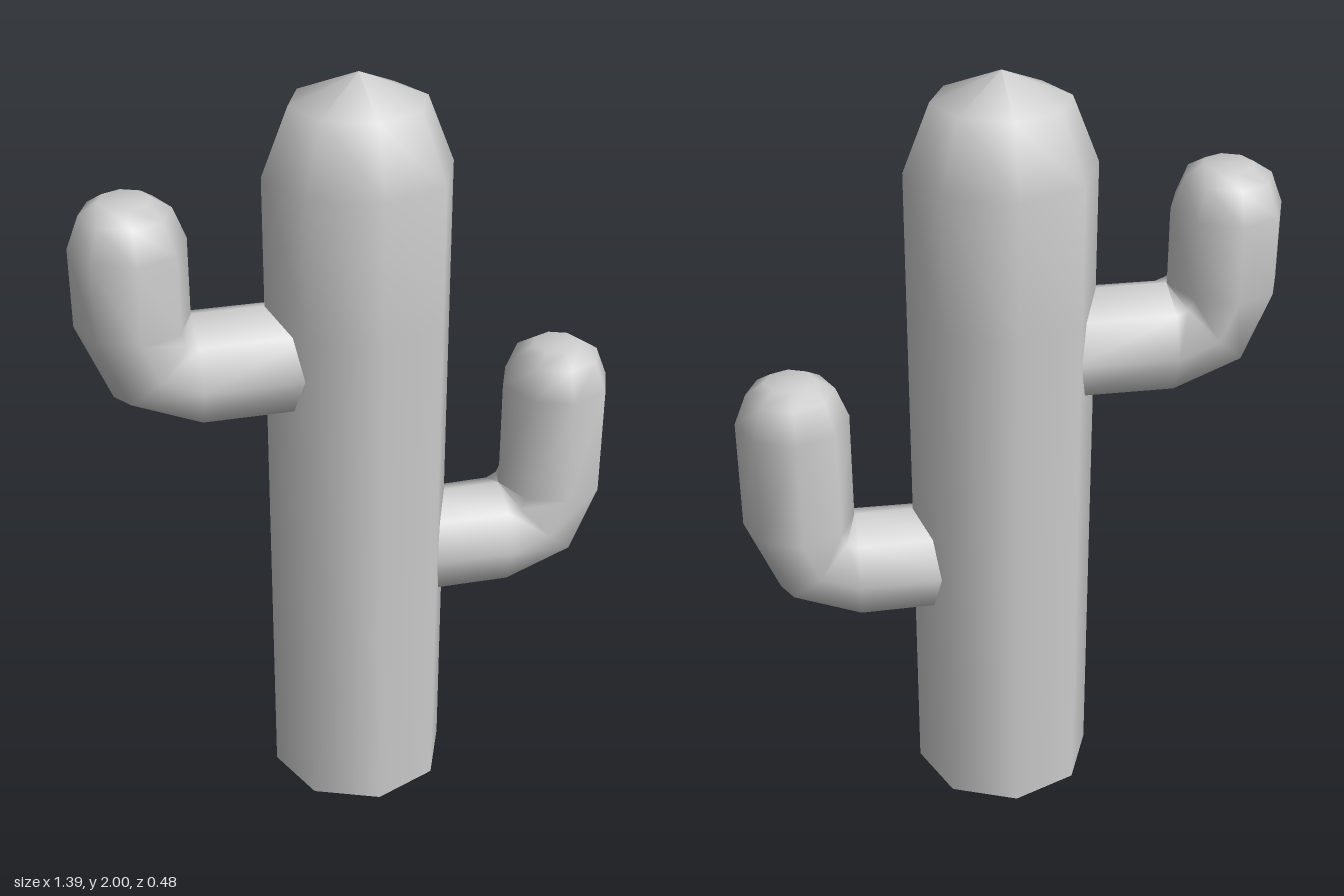
import * as THREE from 'three';

const SIDES = 8;

// Sweeps an eight-sided section through rings: [x, y, section angle, in-plane radius, z radius].
// side is +1 for the +x arm, -1 for the -x arm.
function armGeometry(side, rings) {
  const pos = [], index = [];
  rings.forEach(([x, y, angle, r, rz]) => {
    const ux = Math.sin(angle), uy = -Math.cos(angle);
    for (let j = 0; j < SIDES; j++) {
      const a = (j / SIDES) * Math.PI * 2;
      const k = r * Math.cos(a);
      pos.push(side * (x + ux * k), y + uy * k, rz * Math.sin(a));
    }
  });
  for (let i = 0; i < rings.length - 1; i++) {
    for (let j = 0; j < SIDES; j++) {
      const a = i * SIDES + j, b = i * SIDES + ((j + 1) % SIDES);
      const c = b + SIDES, d = a + SIDES;
      if (side > 0) index.push(a, d, b, b, d, c);
      else index.push(a, b, d, b, c, d);
    }
  }
  const geo = new THREE.BufferGeometry();
  geo.setAttribute('position', new THREE.Float32BufferAttribute(pos, 3));
  geo.setIndex(index);
  geo.computeVertexNormals();
  return geo;
}

// Rings of an arm: horizontal stub, elbow, upright and rounded tip
function armRings(x, y, top, r, rz, rootZ) {
  const elbowX = x - r, elbowY = y + r;
  const h = Math.SQRT1_2 * r;
  return [
    [0.13, y, 0, r, rootZ],
    [elbowX, y, 0, r, (rz + rootZ) / 2],
    [elbowX + h, elbowY - h, Math.PI / 4, r, rz],
    [x, elbowY, Math.PI / 2, r, rz],
    [x, top - 0.11, Math.PI / 2, r, rz],
    [x, top - 0.03, Math.PI / 2, r * 0.78, rz * 0.78],
    [x, top, Math.PI / 2, r * 0.45, rz * 0.45],
    [x, top, Math.PI / 2, 0, 0],
  ];
}

export function createModel() {
  const model = new THREE.Group();
  model.name = 'cactus';
  const grey = new THREE.MeshStandardMaterial({ color: 0xcccccc });
  grey.name = 'plain grey';

  const add = (name, geo, x = 0) => {
    const mesh = new THREE.Mesh(geo, grey);
    mesh.name = name;
    mesh.position.x = x;
    model.add(mesh);
  };

  // Octagonal trunk with a domed top
  const profile = [[0.24, 0], [0.24, 0.35], [0.24, 1.4], [0.24, 1.76], [0.172, 1.93], [0, 2]]
    .map(([r, y]) => new THREE.Vector2(r, y));
  add('trunk', new THREE.LatheGeometry(profile, SIDES), 0.01);
  add('trunkBase', new THREE.CircleGeometry(0.24, SIDES).rotateX(Math.PI / 2), 0.01);

  // Low arm on the +x side, high arm on the -x side
  add('leftArm', armGeometry(1, armRings(0.55, 0.68, 1.23, 0.145, 0.147, 0.135)));
  add('rightArm', armGeometry(-1, armRings(0.557, 1.283, 1.737, 0.143, 0.157, 0.157)));

  return model;
}
